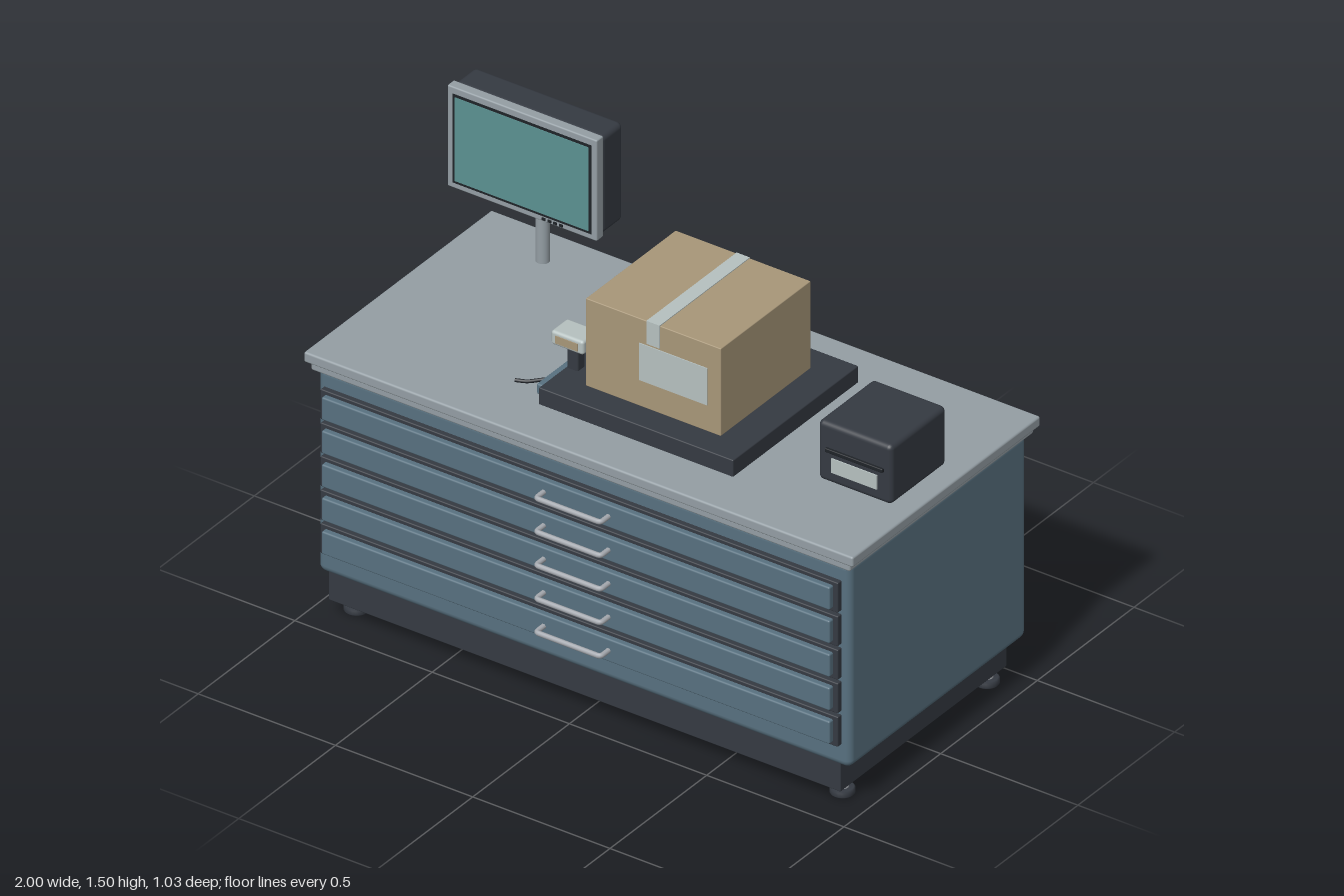
import * as THREE from 'three';
import { RoundedBoxGeometry } from 'three/addons/geometries/RoundedBoxGeometry.js';

const mat = (name, color) => {
  const m = new THREE.MeshStandardMaterial({ color });
  m.name = name;
  return m;
};

export function createModel() {
  const blue = mat('blue steel', 0x587180);
  const top = mat('worktop grey', 0x949ea4);
  const dark = mat('charcoal', 0x353a42);
  const black = mat('black rubber', 0x1f2328);
  const card = mat('cardboard', 0xa89779);
  const pale = mat('pale paper', 0xb6c1c0);
  const screenMat = mat('screen teal', 0x5b9191);
  const silver = mat('silver', 0xa6aab0);

  const root = new THREE.Group();
  root.name = 'packingStation';
  const group = (name) => {
    const g = new THREE.Group();
    g.name = name;
    root.add(g);
    return g;
  };
  const add = (parent, name, geo, material) => {
    const m = new THREE.Mesh(geo, material);
    m.name = name;
    parent.add(m);
    return m;
  };
  // box given by its limits; r > 0 rounds the edges
  const box = (parent, name, material, x0, x1, y0, y1, z0, z1, r = 0) => {
    const w = x1 - x0, h = y1 - y0, d = z1 - z0;
    const geo = r ? new RoundedBoxGeometry(w, h, d, 3, r) : new THREE.BoxGeometry(w, h, d);
    const m = add(parent, name, geo, material);
    m.position.set((x0 + x1) / 2, (y0 + y1) / 2, (z0 + z1) / 2);
    return m;
  };
  const cyl = (parent, name, material, r, x, y0, y1, z, seg = 24) => {
    const m = add(parent, name, new THREE.CylinderGeometry(r, r, y1 - y0, seg), material);
    m.position.set(x, (y0 + y1) / 2, z);
    return m;
  };

  // cabinet, plinth and worktop
  const cabinet = group('cabinet');
  box(cabinet, 'cabinetBody', blue, -0.97, 0.97, 0.15, 0.87, -0.49, 0.428, 0.025);
  box(cabinet, 'plinth', dark, -0.935, 0.93, 0.055, 0.16, -0.442, 0.419, 0.004);
  box(cabinet, 'worktopLip', top, -0.982, 0.982, 0.86, 0.888, -0.507, 0.444, 0.007);
  box(cabinet, 'worktop', top, -1, 1, 0.887, 0.923, -0.516, 0.455, 0.007);

  // levelling feet
  const footProfile = [[0, 0], [0.036, 0], [0.039, 0.004], [0.039, 0.018], [0.034, 0.023], [0, 0.023]]
    .map(([x, y]) => new THREE.Vector2(x, y));
  const feet = group('feet');
  for (const x of [-0.885, 0.885]) {
    for (const z of [0.344, -0.403]) {
      add(feet, 'footPad', new THREE.LatheGeometry(footProfile, 24), dark).position.set(x, 0, z);
      cyl(feet, 'footStem', silver, 0.02, x, 0.02, 0.06, z);
    }
  }

  // five drawers with bent bar handles
  const drawers = group('drawers');
  const handlePath = new THREE.CurvePath();
  const v = (x, y, z) => new THREE.Vector3(x, y, z);
  handlePath.add(new THREE.LineCurve3(v(-0.118, 0, 0.455), v(-0.118, 0, 0.495)));
  handlePath.add(new THREE.QuadraticBezierCurve3(v(-0.118, 0, 0.495), v(-0.118, 0, 0.507), v(-0.106, 0, 0.507)));
  handlePath.add(new THREE.LineCurve3(v(-0.106, 0, 0.507), v(0.106, 0, 0.507)));
  handlePath.add(new THREE.QuadraticBezierCurve3(v(0.106, 0, 0.507), v(0.118, 0, 0.507), v(0.118, 0, 0.495)));
  handlePath.add(new THREE.LineCurve3(v(0.118, 0, 0.495), v(0.118, 0, 0.455)));
  const handleGeo = new THREE.TubeGeometry(handlePath, 64, 0.0085, 10);
  for (let i = 0; i < 5; i++) {
    const y = 0.755 - i * 0.118;
    box(drawers, 'drawerFrame', dark, -0.945, 0.94, y - 0.053, y + 0.053, 0.42, 0.447, 0.004);
    box(drawers, 'drawerPanel', blue, -0.928, 0.923, y - 0.04, y + 0.04, 0.44, 0.466, 0.006);
    add(drawers, 'drawerHandle', handleGeo, silver).position.y = y;
  }

  // monitor on a pole
  const monitor = group('monitor');
  cyl(monitor, 'pole', top, 0.022, -0.712, 0.92, 1.16, -0.373);
  box(monitor, 'housing', dark, -0.982, -0.442, 1.147, 1.492, -0.407, -0.295, 0.018);
  box(monitor, 'bezel', top, -0.985, -0.44, 1.142, 1.497, -0.301, -0.266, 0.005);
  box(monitor, 'screenBorder', black, -0.964, -0.459, 1.162, 1.474, -0.268, -0.264);
  box(monitor, 'screen', screenMat, -0.955, -0.468, 1.171, 1.465, -0.266, -0.262);
  for (let i = 0; i < 4; i++) {
    const x = -0.632 + i * 0.021;
    box(monitor, 'button', black, x - 0.006, x + 0.006, 1.149, 1.157, -0.268, -0.262);
  }
  // rear plate with vents, screws, mount and sockets
  box(monitor, 'rearPlate', top, -0.905, -0.515, 1.21, 1.43, -0.427, -0.4, 0.004);
  for (let i = 0; i < 11; i++) {
    const x = -0.84 + i * 0.026;
    box(monitor, 'vent', black, x - 0.008, x + 0.008, 1.378, 1.404, -0.43, -0.425);
  }
  for (const x of [-0.885, -0.535]) {
    for (const y of [1.235, 1.405]) {
      const screw = add(monitor, 'screw', new THREE.CylinderGeometry(0.008, 0.008, 0.008, 12), dark);
      screw.rotation.x = Math.PI / 2;
      screw.position.set(x, y, -0.429);
    }
  }
  box(monitor, 'mountBlock', silver, -0.772, -0.65, 1.263, 1.375, -0.456, -0.42, 0.006);
  box(monitor, 'socketStrip', dark, -0.8, -0.62, 1.22, 1.25, -0.436, -0.42, 0.003);
  for (let i = 0; i < 4; i++) {
    const x = -0.772 + i * 0.041;
    box(monitor, 'socket', black, x - 0.014, x + 0.014, 1.226, 1.244, -0.442, -0.432);
  }

  // weighing platform and parcel
  const parcel = group('parcelOnScale');
  box(parcel, 'scalePlatform', dark, -0.26, 0.448, 0.92, 0.981, -0.358, 0.29, 0.004);
  box(parcel, 'carton', card, -0.152, 0.34, 0.98, 1.288, -0.265, 0.2, 0.003);
  box(parcel, 'topTape', pale, 0.071, 0.119, 1.285, 1.291, -0.264, 0.203);
  box(parcel, 'frontTape', pale, 0.071, 0.119, 1.21, 1.29, 0.197, 0.203);
  box(parcel, 'addressLabel', pale, 0.045, 0.292, 1.073, 1.203, 0.197, 0.203);

  // label printer
  const printer = group('labelPrinter');
  box(printer, 'printerBody', dark, 0.659, 0.927, 0.922, 1.13, -0.135, 0.152, 0.017);
  box(printer, 'printerSlot', black, 0.69, 0.9, 1.032, 1.046, 0.148, 0.161, 0.003);
  box(printer, 'printedLabel', pale, 0.711, 0.877, 0.964, 1.014, 0.149, 0.156);

  // handheld scanner on its stand
  const scanner = group('scanner');
  box(scanner, 'scannerBase', blue, -0.3, -0.2, 0.922, 0.958, 0.07, 0.246, 0.006);
  box(scanner, 'scannerStem', dark, -0.256, -0.216, 0.95, 1.07, 0.11, 0.15, 0.006);
  box(scanner, 'scannerHead', pale, -0.296, -0.177, 1.063, 1.112, 0.092, 0.178, 0.01);
  box(scanner, 'scannerWindow', card, -0.277, -0.196, 1.074, 1.1, 0.174, 0.181);
  const cable = new THREE.CatmullRomCurve3([
    v(-0.29, 0.945, 0.18), v(-0.32, 0.938, 0.197), v(-0.355, 0.929, 0.214), v(-0.39, 0.928, 0.228),
  ]);
  add(scanner, 'cable', new THREE.TubeGeometry(cable, 20, 0.006, 8), black);

  return root;
}
